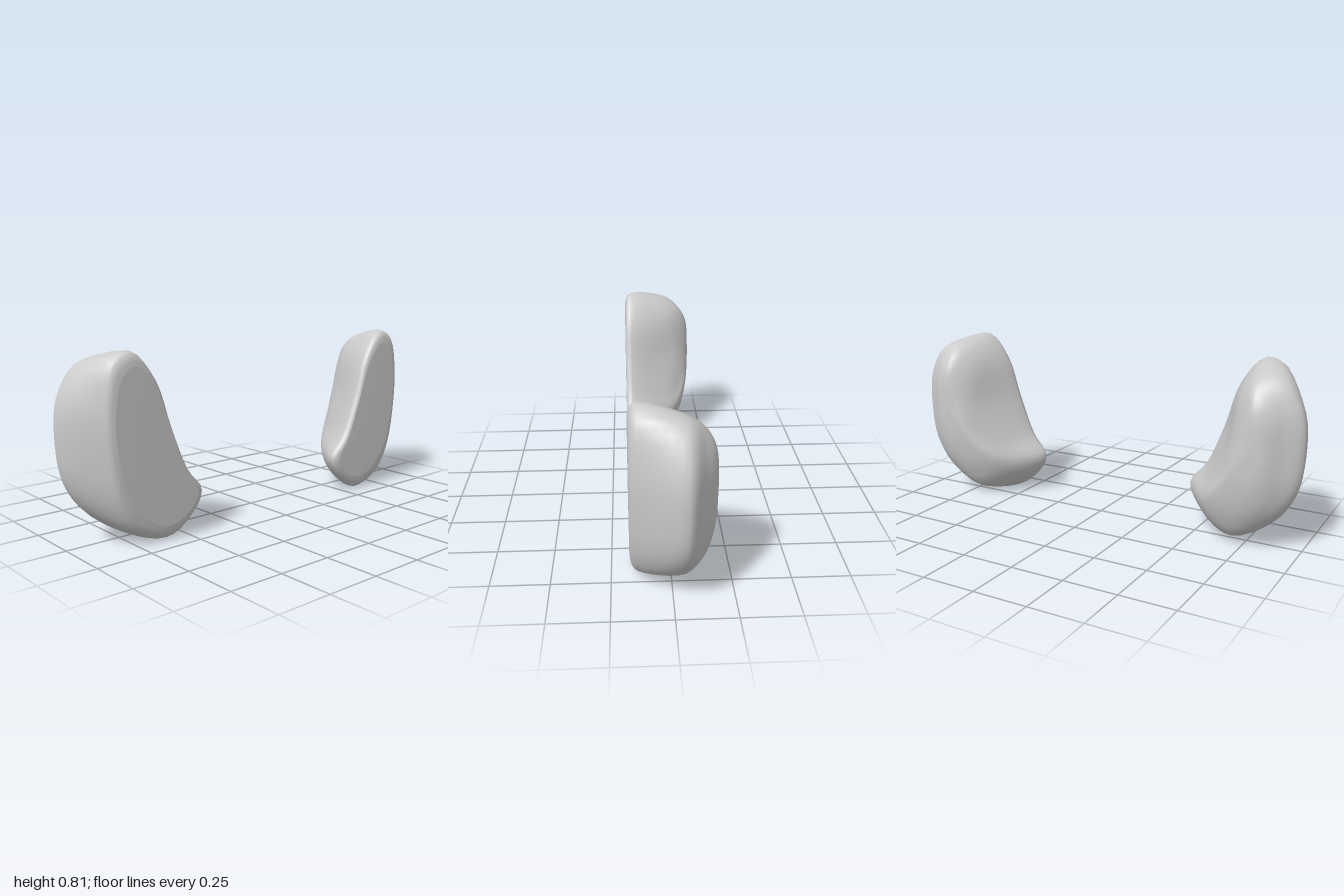
import * as THREE from 'three';
import { mergeVertices } from 'three/addons/utils/BufferGeometryUtils.js';

// Cross-sections of one pad: x, then [z, y] running top, outer edge, bottom, nose, inner edge
const STATIONS = [
  { x: 0.173, ring: [[.757, .75], [.81, .71], [.845, .59], [.842, .42], [.80, .23], [.72, .12],
    [.60, .065], [.51, .10], [.45, .18], [.515, .29], [.59, .48], [.665, .67]] },
  { x: 0.164, ring: [[.755, .79], [.835, .745], [.87, .605], [.868, .42], [.828, .21], [.75, .085],
    [.60, .025], [.495, .075], [.428, .18], [.502, .29], [.58, .48], [.653, .685]] },
  { x: 0.14, ring: [[.755, .81], [.85, .77], [.89, .61], [.888, .42], [.85, .20], [.765, .065],
    [.60, .003], [.485, .065], [.414, .18], [.495, .29], [.575, .48], [.647, .69]] },
  { x: -0.05, ring: [[.785, .768], [.90, .752], [.985, .62], [1.0, .43], [.97, .26], [.875, .125],
    [.70, .03], [.60, .075], [.545, .18], [.59, .29], [.66, .48], [.705, .68]] },
  { x: -0.12, ring: [[.79, .72], [.855, .70], [.91, .61], [.92, .45], [.905, .29], [.845, .18],
    [.74, .13], [.66, .16], [.62, .23], [.655, .32], [.70, .48], [.74, .64]] },
  { x: -0.163, ring: [[.80, .645], [.83, .63], [.855, .57], [.86, .47], [.855, .38], [.83, .31],
    [.785, .28], [.74, .30], [.715, .345], [.725, .40], [.75, .49], [.775, .59]] },
];
const TIP = new THREE.Vector3(-0.176, 0.47, 0.80);
const FACE_CENTRE = new THREE.Vector3(0.174, 0.40, 0.70);
const AROUND = 48, ALONG = 36;

// Smooth grid of points: rows run from the flat face to the rounded tip
function padRows() {
  const rings = STATIONS.map(({ x, ring }) => {
    const curve = new THREE.CatmullRomCurve3(ring.map(([z, y]) => new THREE.Vector3(x, y, z)), true);
    return Array.from({ length: AROUND }, (_, i) => curve.getPoint(i / AROUND));
  });
  const columns = Array.from({ length: AROUND }, (_, i) =>
    new THREE.CatmullRomCurve3([...rings.map(r => r[i]), TIP]).getPoints(ALONG));
  return Array.from({ length: ALONG + 1 }, (_, j) => columns.map(c => c[j]));
}

// One pad; side -1 mirrors it in z and flips the faces
function createPad(rows, side, name) {
  const points = [...rows.flat(), FACE_CENTRE];
  const triangles = [];

  // Rounded body
  for (let j = 0; j < ALONG; j++) {
    for (let i = 0; i < AROUND; i++) {
      const k = (i + 1) % AROUND;
      const a = j * AROUND + i, b = j * AROUND + k;
      const c = a + AROUND, d = b + AROUND;
      triangles.push([a, c, b]);
      if (j < ALONG - 1) triangles.push([b, c, d]);
    }
  }
  // Flat crescent face, blended softly into the body
  for (let i = 0; i < AROUND; i++) triangles.push([points.length - 1, i, (i + 1) % AROUND]);

  const geometry = new THREE.BufferGeometry();
  geometry.setAttribute('position', new THREE.Float32BufferAttribute(
    points.flatMap(p => [p.x, p.y, p.z * side]), 3));
  geometry.setIndex(triangles.flatMap(([a, b, c]) => (side > 0 ? [a, b, c] : [a, c, b])));
  const smooth = mergeVertices(geometry, 1e-5);
  smooth.computeVertexNormals();

  const pad = new THREE.Mesh(smooth, new THREE.MeshStandardMaterial({ color: 0xcccccc }));
  pad.name = name;
  return pad;
}

export function createModel() {
  const model = new THREE.Group();
  model.name = 'padPair';
  const rows = padRows();
  model.add(createPad(rows, 1, 'frontPad'), createPad(rows, -1, 'rearPad'));
  return model;
}
